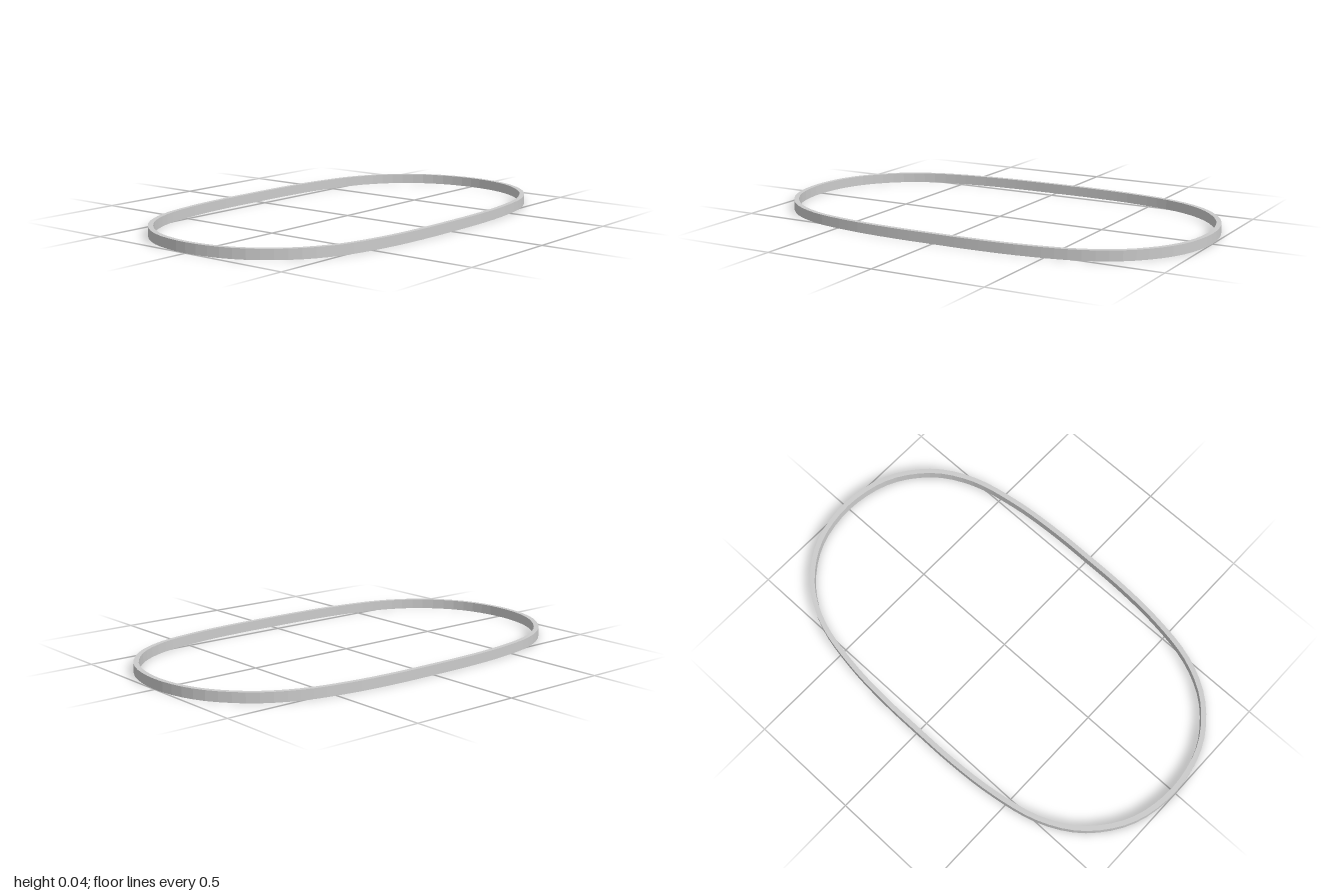
import * as THREE from 'three';

const HEIGHT = 0.044, WALL = 0.022;

export function createModel() {
  const group = new THREE.Group();
  group.name = 'ovalRing';

  // One quarter of the outer outline, mirrored into a closed oval
  const quarter = [[1, 0], [0.991, 0.1], [0.965, 0.2], [0.912, 0.3], [0.805, 0.415],
    [0.645, 0.5], [0.42, 0.547], [0.2, 0.564], [0, 0.566]];
  const half = [...quarter, ...quarter.slice(1, -1).reverse().map(([x, z]) => [-x, z])];
  const all = [...half, ...half.map(([x, z]) => [-x, -z])];
  const curve = new THREE.CatmullRomCurve3(all.map(([x, z]) => new THREE.Vector3(x, z, 0)), true);

  // Outer edge and an inner edge offset inwards by the wall thickness
  const outer = [], inner = [];
  const count = 96;
  for (let i = 0; i < count; i++) {
    const p = curve.getPointAt(i / count), t = curve.getTangentAt(i / count);
    outer.push(new THREE.Vector2(p.x, p.y));
    inner.push(new THREE.Vector2(p.x - t.y * WALL, p.y + t.x * WALL));
  }

  // Flat-edged band standing on the ground
  const shape = new THREE.Shape(outer);
  shape.holes.push(new THREE.Path(inner));
  const geometry = new THREE.ExtrudeGeometry(shape, { depth: HEIGHT, bevelEnabled: false });
  geometry.rotateX(-Math.PI / 2);

  const band = new THREE.Mesh(geometry, new THREE.MeshStandardMaterial({ color: 0xcccccc }));
  band.name = 'band';
  group.add(band);
  return group;
}
